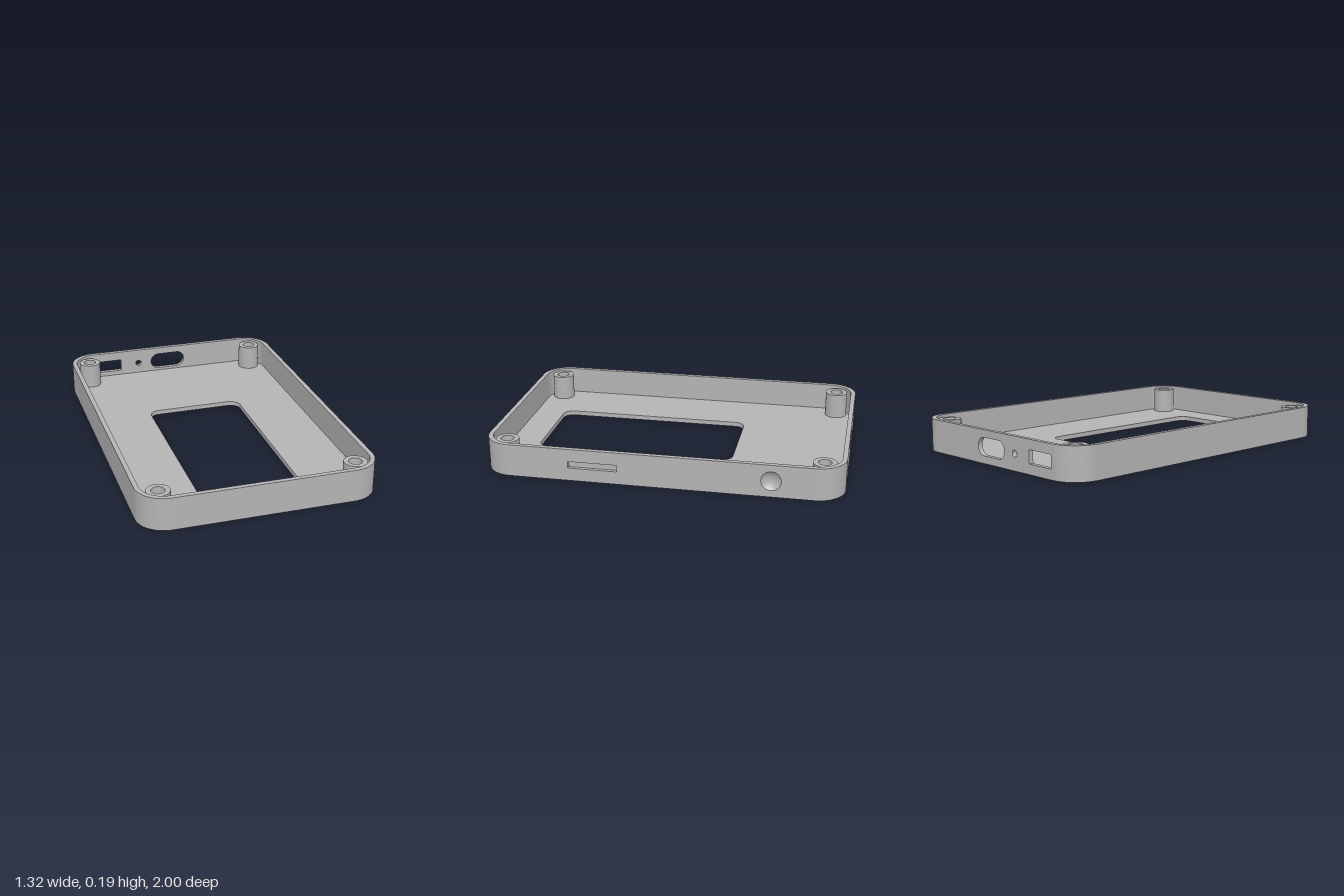
import * as THREE from 'three';
import { toCreasedNormals } from 'three/addons/utils/BufferGeometryUtils.js';

const W = 0.66, L = 1, H = 0.185;    // half width, half length, height
const R = 0.16, T = 0.027;           // corner radius, wall thickness
const FLOOR = 0.027, MID = 0.093;    // floor thickness, port centre height

// Rounded rectangle outline, given its centre and half sizes
function roundRect(cx, cy, hw, hh, r, PathType = THREE.Path) {
  const p = new PathType(), c = [[1, -1], [1, 1], [-1, 1], [-1, -1]];
  if (r === 0) return p.setFromPoints([...c, c[0]].map(([x, y]) => new THREE.Vector2(cx + x * hw, cy + y * hh)));
  c.forEach(([x, y], i) => p.absarc(cx + x * (hw - r), cy + y * (hh - r), r, (i - 1) * Math.PI / 2, i * Math.PI / 2, false));
  p.closePath();
  return p;
}

function circle(cx, cy, r) {
  return new THREE.Path().absarc(cx, cy, r, 0, Math.PI * 2, false);
}

function extrude(shape, depth, holes = []) {
  shape.holes.push(...holes);
  const g = new THREE.ExtrudeGeometry(shape, { depth, bevelEnabled: false, curveSegments: 16 });
  return toCreasedNormals(g, 0.5);
}

export function createModel() {
  const model = new THREE.Group();
  const grey = new THREE.MeshStandardMaterial({ color: 0xb4b4b4 });
  grey.name = 'grey plastic';

  function add(name, geometry, parent = model) {
    const mesh = new THREE.Mesh(geometry, grey);
    mesh.name = name;
    parent.add(mesh);
    return mesh;
  }

  // Floor in two layers: the lower one carries the blind vent grooves
  const grooveDepth = 0.012;
  const screen = () => roundRect(0, -0.225, 0.285, 0.57, 0.06);
  const floorShape = () => roundRect(0, 0, W - T, L - T, R - T, THREE.Shape);
  const grooves = [0.6, 0.677, 0.753, 0.83].map(y => roundRect(0, y, 0.335, 0.009, 0));
  const lower = extrude(floorShape(), grooveDepth, [screen(), ...grooves]).rotateX(-Math.PI / 2);
  const upper = extrude(floorShape(), FLOOR - grooveDepth, [screen()]).rotateX(-Math.PI / 2);
  add('groovedFloor', lower);
  add('floor', upper).position.y = grooveDepth;

  // Straight walls, each built facing +z and turned into place
  function wall(name, half, distance, turn, layers) {
    const group = new THREE.Group();
    group.name = name;
    group.rotation.y = turn;
    let z = distance - T;
    for (const { depth, holes } of layers) {
      const shape = roundRect(0, H / 2, half, H / 2, 0, THREE.Shape);
      add(name + 'Panel', extrude(shape, depth, holes), group).position.z = z;
      z += depth;
    }
    model.add(group);
    return group;
  }
  const recess = 0.021;
  const ports = [
    roundRect(0, MID, 0.113, 0.05, 0.0499),
    circle(0.2, MID, 0.019),
    roundRect(0.405, MID, 0.087, 0.037, 0),
  ];
  const sideCuts = [roundRect(-0.367, MID, 0.137, 0.019, 0), circle(0.61, MID, 0.055)];
  wall('frontWall', W - R, L, 0, [{ depth: T }]);
  wall('backWall', W - R, L, Math.PI, [{ depth: T, holes: ports }]);
  wall('rightWall', L - R, W, -Math.PI / 2, [{ depth: T }]);
  const leftWall = wall('leftWall', L - R, W, Math.PI / 2,
    [{ depth: T - recess }, { depth: recess, holes: sideCuts }]);

  // Spherical button dimple
  const br = 0.055, sr = (br * br + recess * recess) / (2 * recess), span = Math.asin(br / sr);
  const bowl = [];
  for (let i = 10; i >= 0; i--) {
    const a = span * i / 10;
    bowl.push(new THREE.Vector2(sr * Math.sin(a), sr * (1 - Math.cos(a))));
  }
  const dimple = add('buttonDimple', new THREE.LatheGeometry(bowl, 40).rotateX(Math.PI / 2), leftWall);
  dimple.position.set(0.61, MID, W - recess);

  // Rounded corners and screw posts
  const postTop = 0.174;
  const postProfile = [[0.065, FLOOR], [0.065, postTop], [0.037, postTop], [0.037, FLOOR + 0.001], [0, FLOOR + 0.001]]
    .map(([x, y]) => new THREE.Vector2(x, y));
  const post = toCreasedNormals(new THREE.LatheGeometry(postProfile, 40), 0.5);
  [[1, 1], [-1, 1], [-1, -1], [1, -1]].forEach(([x, y], i) => {
    const a = i * Math.PI / 2, b = a + Math.PI / 2;
    const ring = new THREE.Shape();
    ring.absarc(0, 0, R, a, b, false);
    ring.absarc(0, 0, R - T, b, a, true);
    ring.closePath();
    add('cornerWall', extrude(ring, H).rotateX(-Math.PI / 2)).position.set(x * (W - R), 0, -y * (L - R));
    add('screwPost', post).position.set(x * 0.543, 0, -y * 0.883);
  });

  return model;
}
